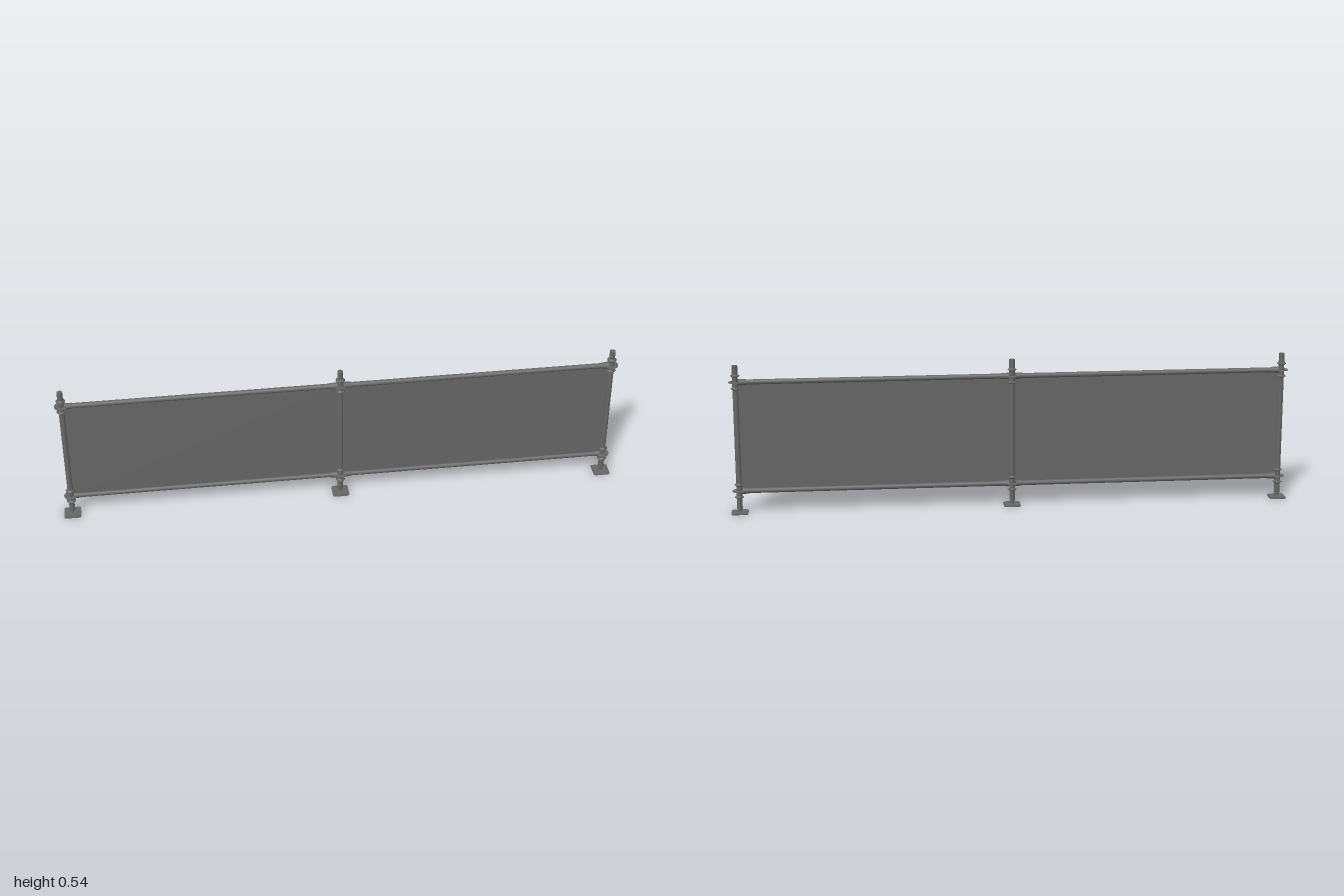
import * as THREE from 'three';

const material = new THREE.MeshStandardMaterial({ color: 0x666666 });
const panelMaterial = new THREE.MeshStandardMaterial({ color: 0x666666, side: THREE.DoubleSide });

const POST_X = [-0.97, 0, 0.97];
const RAIL_Y = [0.081, 0.476];

function add(parent, name, geometry, x = 0, y = 0, z = 0, mat = material) {
  const mesh = new THREE.Mesh(geometry, mat);
  mesh.name = name;
  mesh.position.set(x, y, z);
  parent.add(mesh);
  return mesh;
}

// Flat square plate with rounded corners, lying on y = 0
function plateGeometry(half, r, height) {
  const s = new THREE.Shape();
  const c = half - r;
  s.absarc(c, c, r, 0, Math.PI / 2);
  s.absarc(-c, c, r, Math.PI / 2, Math.PI);
  s.absarc(-c, -c, r, Math.PI, Math.PI * 1.5);
  s.absarc(c, -c, r, Math.PI * 1.5, Math.PI * 2);
  s.closePath();
  const g = new THREE.ExtrudeGeometry(s, { depth: height, bevelEnabled: false, curveSegments: 6 });
  return g.rotateX(-Math.PI / 2);
}

// Horizontal tube between two x positions
function tubeX(radiusA, radiusB, x0, x1) {
  return new THREE.CylinderGeometry(radiusB, radiusA, x1 - x0, 20)
    .rotateZ(-Math.PI / 2).translate((x0 + x1) / 2, 0, 0);
}

function buildPost(x) {
  const post = new THREE.Group();
  post.name = 'post';
  post.position.x = x;

  // Adjustable foot
  add(post, 'basePlate', plateGeometry(0.03, 0.008, 0.0025));
  add(post, 'basePlateTop', plateGeometry(0.026, 0.007, 0.0025), 0, 0.0025);
  add(post, 'footSpindle', new THREE.CylinderGeometry(0.005, 0.005, 0.03, 16), 0, 0.015);

  // Upright tube
  add(post, 'upright', new THREE.CylinderGeometry(0.01, 0.01, 0.52, 24), 0, 0.276);

  // Connector discs with a pointed collar above and below
  const collarProfile = [[0.009, -0.006], [0.0125, -0.003], [0.0165, 0], [0.0125, 0.003], [0.009, 0.006]]
    .map(([r, y]) => new THREE.Vector2(r, y));
  for (const y of RAIL_Y) {
    add(post, 'connectorDisc', new THREE.CylinderGeometry(0.024, 0.024, 0.002, 28), 0, y);
    for (const dy of [-0.023, 0.023]) {
      add(post, 'collar', new THREE.LatheGeometry(collarProfile, 24), 0, y + dy);
    }
  }
  return post;
}

function buildBay(x0, x1) {
  const bay = new THREE.Group();
  bay.name = 'bay';

  for (const y of RAIL_Y) {
    add(bay, 'rail', tubeX(0.009, 0.009, x0 + 0.02, x1 - 0.02), 0, y);
    // Clamping heads at both rail ends
    add(bay, 'railHead', tubeX(0.012, 0.010, x0 + 0.011, x0 + 0.038), 0, y);
    add(bay, 'railHead', tubeX(0.010, 0.012, x1 - 0.038, x1 - 0.011), 0, y);
  }

  // Infill sheet between the rails
  const height = RAIL_Y[1] - RAIL_Y[0];
  add(bay, 'panel', new THREE.BoxGeometry(x1 - x0 - 0.018, height, 0.003),
    (x0 + x1) / 2, RAIL_Y[0] + height / 2, 0, panelMaterial);
  return bay;
}

export function createModel() {
  const model = new THREE.Group();
  model.name = 'fence';
  for (const x of POST_X) model.add(buildPost(x));
  for (let i = 0; i < POST_X.length - 1; i++) model.add(buildBay(POST_X[i], POST_X[i + 1]));
  return model;
}
